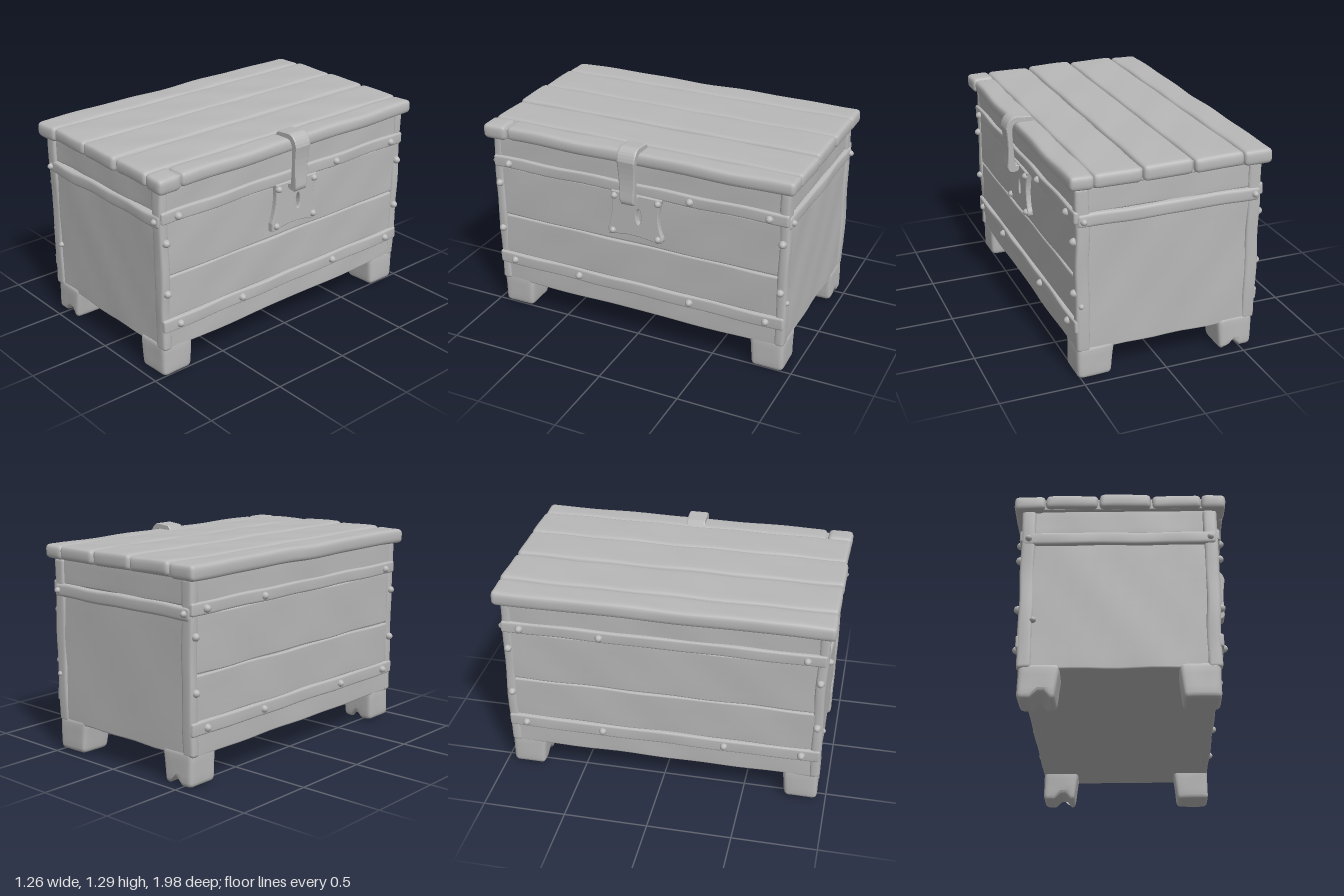
import * as THREE from 'three';
import { mergeVertices } from 'three/addons/utils/BufferGeometryUtils.js';

const wornGrey = new THREE.MeshStandardMaterial({ color: 0xb8b8b8 });

// Soft uneven wobble that makes the timber look hand-hewn
const wobble = (a, b, s) =>
  0.6 * Math.sin(a * 9 + s * 2.1) * Math.cos(b * 7 + s) + 0.4 * Math.sin(a * 17 + b * 13 + s * 3.7);

// Grid line i of n, with extra lines inside the rounded edge
function gridLine(i, n, h, r) {
  if (i > n / 2) return -gridLine(n - i, n, h, r);
  if (i < 2) return -h + r * 0.45 * i;
  return -h + r + ((i - 2) / (n - 4)) * 2 * (h - r);
}

// Rounded, slightly crooked board between two corners
function board(name, [x0, x1], [y0, y1], [z0, z1], r = 0.02, amp = 0.005, shape) {
  const size = [x1 - x0, y1 - y0, z1 - z0];
  const mid = [(x0 + x1) / 2, (y0 + y1) / 2, (z0 + z1) / 2];
  const n = size.map(s => 6 + 2 * Math.round(s * 5));
  r = Math.min(r, ...size.map(s => s * 0.45));
  let geo = new THREE.BoxGeometry(...size, ...n);
  geo.deleteAttribute('uv');
  geo.deleteAttribute('normal');
  const pos = geo.attributes.position;
  const seed = mid[0] * 5 + mid[1] * 11 + mid[2] * 3;
  const v = new THREE.Vector3(), inner = new THREE.Vector3();
  for (let i = 0; i < pos.count; i++) {
    v.fromBufferAttribute(pos, i);
    ['x', 'y', 'z'].forEach((k, a) => {
      const h = size[a] / 2;
      v[k] = gridLine(Math.round((v[k] / size[a] + 0.5) * n[a]), n[a], h, r);
      inner[k] = THREE.MathUtils.clamp(v[k], -h + r, h - r);
    });
    v.sub(inner);
    if (v.lengthSq() > 0) v.setLength(r);
    v.add(inner);
    const { x, y, z } = v;
    v.x += amp * wobble(y, z, seed);
    v.y += amp * wobble(x, z, seed + 1);
    v.z += amp * wobble(x, y, seed + 2);
    if (shape) shape(v, size);
    pos.setXYZ(i, v.x + mid[0], v.y + mid[1], v.z + mid[2]);
  }
  geo = mergeVertices(geo, 1e-5);
  geo.computeVertexNormals();
  const mesh = new THREE.Mesh(geo, wornGrey);
  mesh.name = name;
  return mesh;
}

// Domed nail head pointing along an axis
function rivet(x, y, z, dir, r = 0.024) {
  const mesh = new THREE.Mesh(new THREE.SphereGeometry(r, 10, 5, 0, Math.PI * 2, 0, Math.PI / 2), wornGrey);
  mesh.position.set(x, y, z);
  mesh.quaternion.setFromUnitVectors(new THREE.Vector3(0, 1, 0), dir);
  mesh.scale.y = 1.25;
  mesh.name = 'rivet';
  return mesh;
}

export function createModel() {
  const chest = new THREE.Group();
  chest.name = 'chest';
  const cx = -0.0275;                       // the box sits slightly off centre

  // Body
  chest.add(board('bodyCore', [-0.56, 0.505], [0.176, 1.18], [-0.925, 0.925], 0.01, 0));

  // Long sides: stacked boards, iron bands and rivets
  for (const s of [-1, 1]) {
    const side = new THREE.Group();
    side.name = s > 0 ? 'leftSide' : 'rightSide';
    const span = (a, b) => s > 0 ? [cx + a, cx + b] : [cx - b, cx - a];
    for (const [a, b] of [[0.175, 0.37], [0.372, 0.636], [0.64, 0.968], [0.972, 1.175]])
      side.add(board('sideBoard', span(0.49, 0.547), [a, b], [-0.93, 0.93], 0.012, 0.004));
    for (const [a, b] of [[0.297, 0.378], [0.966, 1.04]])
      side.add(board('sideBand', span(0.52, 0.566), [a, b], [-0.95, 0.95], 0.014, 0.005));
    const out = new THREE.Vector3(s, 0, 0);
    for (const z of [0.84, 0.38, -0.36, -0.84]) {
      side.add(rivet(cx + s * 0.562, 0.337, z, out));
      if (z !== 0.38) side.add(rivet(cx + s * 0.562, 1.0, z, out));
    }
    for (const z of [0.92, -0.92])
      for (const y of [0.545, 0.855]) side.add(rivet(cx + s * 0.553, y, z, out));
    chest.add(side);
  }

  // Ends: wide panel, proud crossband and recessed upper strip
  for (const s of [-1, 1]) {
    const end = new THREE.Group();
    end.name = s > 0 ? 'frontEnd' : 'backEnd';
    const span = (a, b) => s > 0 ? [a, b] : [-b, -a];
    end.add(board('endPanel', [-0.56, 0.505], [0.176, 0.96], span(0.89, 0.942), 0.012, 0.005));
    end.add(board('endBand', [-0.575, 0.52], [0.94, 1.02], span(0.9, 0.962), 0.02, 0.006));
    end.add(board('upperStrip', [-0.56, 0.505], [1.015, 1.175], span(0.89, 0.938), 0.012, 0.004));
    const out = new THREE.Vector3(0, 0, s);
    for (const x of [-0.54, 0.485]) end.add(rivet(x, 0.98, s * 0.958, out, 0.02));
    end.add(rivet(s * -0.5, 0.47, s * 0.945, out, 0.018));
    chest.add(end);
  }

  // Corner posts and tapered feet
  for (const sx of [-1, 1]) for (const sz of [-1, 1]) {
    const px = (a, b) => sx > 0 ? [cx + a, cx + b] : [cx - b, cx - a];
    const pz = (a, b) => sz > 0 ? [a, b] : [-b, -a];
    chest.add(board('cornerPost', px(0.475, 0.556), [0.178, 1.17], pz(0.893, 0.953), 0.02, 0.006));
    chest.add(board('foot', px(0.318, 0.547), [0.002, 0.21], pz(0.735, 0.95), 0.03, 0.004, (v, size) => {
      const t = 0.5 - v.y / size[1];
      // lean the inner faces inwards toward the ground
      if (v.x * sx < 0) v.x *= 1 - 0.22 * t;
      if (v.z * sz < 0) v.z *= 1 - 0.15 * t;
      // split in the foot
      if (sx < 0 && t > 0.8 && Math.abs(v.x) < 0.035) v.y += 0.04;
    }));
  }

  // Lid: long planks with end blocks on the latch edge
  const lid = new THREE.Group();
  lid.name = 'lid';
  const plank = (x, y, z) => lid.add(board('lidPlank', x, y, z, 0.028, 0.005));
  plank([-0.63, -0.452], [1.162, 1.252], [-0.99, 0.985]);
  plank([-0.448, -0.148], [1.168, 1.254], [-0.99, 0.985]);
  plank([-0.142, 0.152], [1.166, 1.258], [-0.985, 0.99]);
  plank([0.157, 0.438], [1.168, 1.254], [-0.99, 0.98]);
  plank([0.43, 0.57], [1.166, 1.25], [-0.985, 0.828]);
  plank([0.432, 0.572], [1.16, 1.252], [0.832, 0.985]);
  lid.add(board('lidUnderside', [-0.6, 0.545], [1.165, 1.235], [-0.96, 0.96], 0.01, 0));
  chest.add(lid);

  // Latch strap: bent bar hooked over the lid edge
  const strap = new THREE.Shape();
  strap.moveTo(0.45, 1.245);
  strap.lineTo(0.47, 1.272);
  strap.lineTo(0.56, 1.28);
  strap.quadraticCurveTo(0.61, 1.275, 0.622, 1.21);
  strap.quadraticCurveTo(0.605, 1.1, 0.615, 0.98);
  strap.quadraticCurveTo(0.62, 0.935, 0.585, 0.935);
  strap.quadraticCurveTo(0.55, 0.935, 0.545, 0.965);
  strap.lineTo(0.575, 0.975);
  strap.quadraticCurveTo(0.588, 1.1, 0.59, 1.2);
  strap.quadraticCurveTo(0.585, 1.25, 0.55, 1.25);
  const strapGeo = new THREE.ExtrudeGeometry(strap, {
    depth: 0.1, steps: 1, curveSegments: 6, bevelThickness: 0.008, bevelSize: 0.004, bevelSegments: 1 });
  strapGeo.translate(0, 0, -0.05);
  const sp = strapGeo.attributes.position;
  for (let i = 0; i < sp.count; i++)        // strap narrows on its way down
    sp.setZ(i, sp.getZ(i) * (1 - 0.25 * THREE.MathUtils.clamp((1.25 - sp.getY(i)) / 0.3, 0, 1)));
  strapGeo.computeVertexNormals();
  const strapMesh = new THREE.Mesh(strapGeo, wornGrey);
  strapMesh.name = 'latchStrap';
  chest.add(strapMesh);

  // Lock plate with flared corners and a keyhole
  const plate = new THREE.Shape();
  plate.moveTo(-0.155, 0.695);
  plate.quadraticCurveTo(0, 0.735, 0.16, 0.695);
  plate.quadraticCurveTo(0.205, 0.70, 0.18, 0.745);
  plate.quadraticCurveTo(0.14, 0.85, 0.185, 0.97);
  plate.lineTo(-0.13, 0.975);
  plate.quadraticCurveTo(-0.115, 0.85, -0.155, 0.74);
  const hole = new THREE.Path();
  hole.absellipse(0.04, 0.84, 0.022, 0.055, 0, Math.PI * 2, true);
  plate.holes.push(hole);
  const plateGeo = new THREE.ExtrudeGeometry(plate, {
    depth: 0.03, curveSegments: 8, bevelThickness: 0.008, bevelSize: 0.006, bevelSegments: 2 });
  plateGeo.rotateY(Math.PI / 2);
  const plateMesh = new THREE.Mesh(plateGeo, wornGrey);
  plateMesh.name = 'lockPlate';
  plateMesh.position.x = 0.513;
  chest.add(plateMesh);
  const outX = new THREE.Vector3(1, 0, 0);
  for (const [z, y] of [[0.13, 0.72], [-0.165, 0.72], [0.115, 0.95], [-0.165, 0.95]])
    chest.add(rivet(0.545, y, z, outX, 0.022));

  return chest;
}
